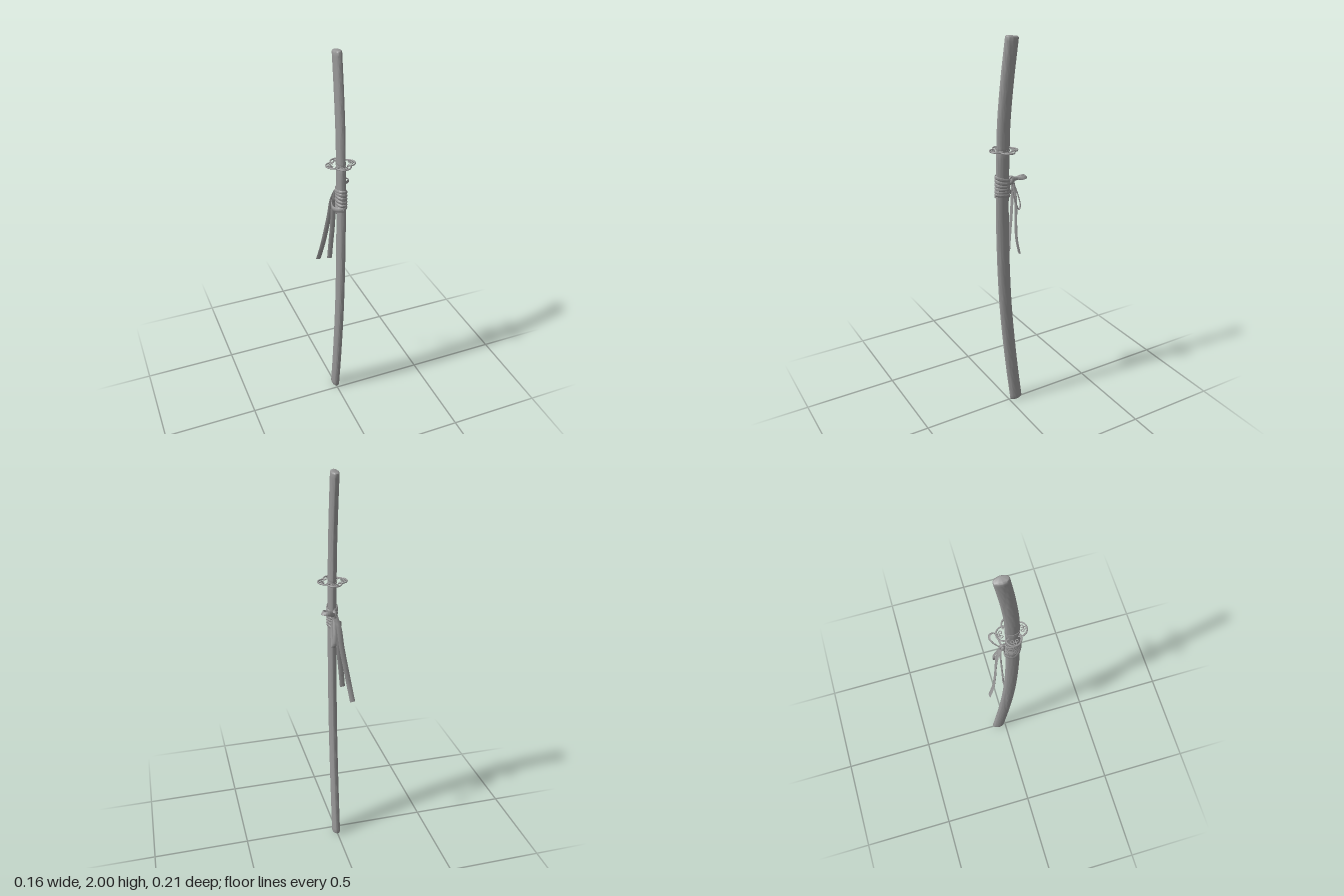
import * as THREE from 'three';
import { toCreasedNormals } from 'three/addons/utils/BufferGeometryUtils.js';

const material = new THREE.MeshStandardMaterial({ color: 0x979797, side: THREE.DoubleSide });
const V = (x, y, z) => new THREE.Vector3(x, y, z);
const curveOf = (pts) => new THREE.CatmullRomCurve3(pts.map((p) => V(...p)));

// Sweeps an ellipse along a curve; "wide" is the direction of half-axis a.
function sweep(curve, steps, wide, a, b, sides, round = 0) {
  const ts = [];
  for (let i = 0; i <= steps; i++) ts.push(i / steps);
  if (round) ts.splice(1, 0, round * 0.4, round), ts.splice(-1, 0, 1 - round, 1 - round * 0.4);
  const pos = [], index = [];
  ts.forEach((t) => {
    const c = curve.getPoint(t), T = curve.getTangent(t);
    const N = wide.clone().addScaledVector(T, -wide.dot(T)).normalize();
    const B = T.clone().cross(N);
    const e = Math.min(t, 1 - t);
    const inset = !round || e >= round ? 0 : e > 0 ? 0.0015 : 0.006;
    for (let j = 0; j < sides; j++) {
      const q = (j / sides) * Math.PI * 2;
      const p = c.clone().addScaledVector(N, (a - inset) * Math.cos(q)).addScaledVector(B, (b - inset) * Math.sin(q));
      pos.push(p.x, p.y, p.z);
    }
  });
  const rows = ts.length;
  for (let i = 0; i < rows - 1; i++) {
    for (let j = 0; j < sides; j++) {
      const k = (j + 1) % sides, r = i * sides, s = r + sides;
      index.push(r + j, r + k, s + j, r + k, s + k, s + j);
    }
  }
  // end caps
  const last = (rows - 1) * sides;
  for (let j = 1; j < sides - 1; j++) index.push(0, j + 1, j, last, last + j, last + j + 1);
  const g = new THREE.BufferGeometry();
  g.setAttribute('position', new THREE.Float32BufferAttribute(pos, 3));
  g.setIndex(index);
  return toCreasedNormals(g, 0.7);
}

function add(parent, name, geometry) {
  const m = new THREE.Mesh(geometry, material);
  m.name = name;
  parent.add(m);
  return m;
}

export function createModel() {
  const model = new THREE.Group();
  model.name = 'sheathedSword';
  const X = V(1, 0, 0), Y = V(0, 1, 0);

  // curved scabbard and handle
  add(model, 'scabbard', sweep(curveOf([
    [0.003, 0.005, -0.043], [0.003, 0.2, -0.018], [0.003, 0.4, 0.004], [0.003, 0.6, 0.022],
    [0.003, 0.8, 0.033], [0.003, 1.0, 0.039], [0.003, 1.2, 0.041], [0.003, 1.465, 0.036],
  ]), 48, X, 0.021, 0.035, 32, 0.005));
  add(model, 'handle', sweep(curveOf([
    [0.003, 1.46, 0.036], [0.003, 1.6, 0.031], [0.003, 1.8, 0.012], [0.003, 1.997, -0.014],
  ]), 24, X, 0.0205, 0.035, 32, 0.012));

  // four-lobed openwork guard
  const guard = new THREE.Group();
  guard.name = 'guard';
  guard.position.set(0.003, 1.464, 0.032);
  guard.rotation.x = -0.04;
  model.add(guard);
  const sweepAngle = Math.PI * 1.3;
  for (let i = 0; i < 4; i++) {
    const lobe = new THREE.Group();
    lobe.name = 'guardLobe';
    lobe.rotation.y = (i * Math.PI) / 2;
    guard.add(lobe);
    const rim = new THREE.TorusGeometry(0.035, 0.0038, 8, 36, sweepAngle);
    rim.rotateZ(-sweepAngle / 2).rotateX(Math.PI / 2).translate(0.037, 0, 0);
    add(lobe, 'lobeRim', rim);
    for (const [x, z] of [[0.062, 0], [0.05, 0.0105], [0.05, -0.0105]]) {
      const ring = new THREE.TorusGeometry(0.0065, 0.0022, 6, 18);
      ring.rotateX(Math.PI / 2).translate(x, 0, z);
      add(lobe, 'smallRing', ring);
    }
  }
  const collar = new THREE.CylinderGeometry(1, 1, 0.006, 32).scale(0.0225, 1, 0.037);
  add(guard, 'guardCollar', collar).position.z = 0.004;

  // cord wound around the scabbard, with uneven slant
  const turns = 6, wrap = [];
  for (let i = 0; i <= turns * 16; i++) {
    const q = (i / 16) * Math.PI * 2 - Math.PI / 2;
    const slant = 0.005 * Math.sin(q) + 0.004 * Math.cos(q + i * 0.05);
    wrap.push([0.003 + 0.024 * Math.cos(q), 1.232 + (0.102 * i) / (turns * 16) + slant, 0.04 + 0.038 * Math.sin(q)]);
  }
  add(model, 'cordWrap', sweep(curveOf(wrap), turns * 32, Y, 0.0085, 0.004, 8));
  add(model, 'looseTurn', sweep(curveOf([
    [0.015, 1.25, 0.0], [-0.02, 1.255, -0.005], [-0.035, 1.245, 0.015],
    [-0.037, 1.235, 0.035], [-0.022, 1.235, 0.062], [0.003, 1.24, 0.08],
  ]), 24, Y, 0.013, 0.004, 8));

  // knot at the back
  const knot = new THREE.SphereGeometry(1, 20, 14).scale(0.014, 0.018, 0.013);
  add(model, 'knot', knot).position.set(0.003, 1.3, -0.01);
  const band = new THREE.TorusGeometry(0.014, 0.005, 8, 20).rotateY(Math.PI / 2).scale(1.6, 1.3, 1);
  add(model, 'knotBand', band).position.set(0.004, 1.305, -0.01);

  // bow loops
  add(model, 'sideLoop', sweep(curveOf([
    [0.003, 1.31, -0.012], [0.025, 1.322, -0.018], [0.055, 1.33, -0.02], [0.072, 1.334, -0.036],
    [0.067, 1.336, -0.054], [0.045, 1.332, -0.059], [0.02, 1.32, -0.042], [0.003, 1.305, -0.018],
  ]), 40, V(-0.55, 0.7, 0.45), 0.01, 0.0025, 8));
  add(model, 'hangingLoop', sweep(curveOf([
    [0.003, 1.3, -0.012], [0.012, 1.25, -0.012], [0.017, 1.19, -0.028], [0.018, 1.15, -0.046],
    [0.016, 1.165, -0.055], [0.01, 1.23, -0.043], [0.003, 1.295, -0.02],
  ]), 40, V(1, 0, 0.35), 0.01, 0.003, 8));

  // ribbon tails
  add(model, 'longTail', sweep(curveOf([
    [0.002, 1.3, -0.02], [-0.012, 1.24, -0.04], [-0.022, 1.15, -0.052], [-0.038, 1.05, -0.062],
    [-0.054, 0.95, -0.077], [-0.067, 0.86, -0.102],
  ]), 40, X, 0.0135, 0.0038, 8));
  add(model, 'shortTail', sweep(curveOf([
    [0.002, 1.3, -0.02], [-0.01, 1.22, -0.024], [-0.018, 1.1, -0.022], [-0.028, 1.0, -0.02], [-0.036, 0.91, -0.019],
  ]), 32, X, 0.0135, 0.0038, 8));

  return model;
}
